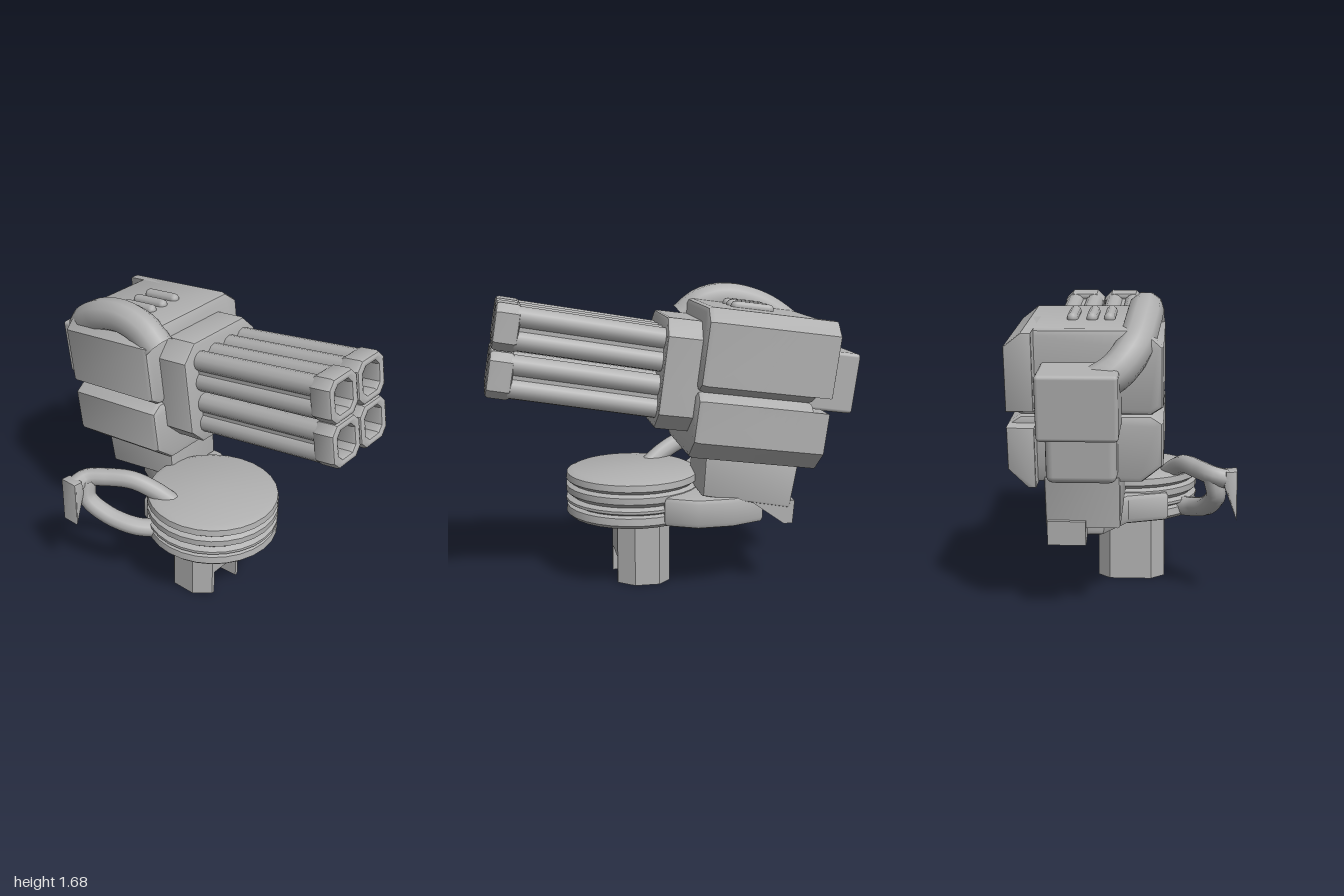
import * as THREE from 'three';
import { toCreasedNormals } from 'three/addons/utils/BufferGeometryUtils.js';
import { RoundedBoxGeometry } from 'three/addons/geometries/RoundedBoxGeometry.js';

const metal = new THREE.MeshStandardMaterial({ color: 0xb0b0b0 });
metal.name = 'grey metal';

function add(parent, name, geometry, x = 0, y = 0, z = 0) {
  const mesh = new THREE.Mesh(geometry, metal);
  mesh.name = name;
  mesh.position.set(x, y, z);
  parent.add(mesh);
  return mesh;
}

function outline(points) {
  return new THREE.Shape(points.map(([x, y]) => new THREE.Vector2(x, y)));
}

// Bevelled prism running from z = 0 to z = depth
function prism(shape, depth, bevel = 0) {
  const g = new THREE.ExtrudeGeometry(shape, {
    depth: depth - 2 * bevel, bevelEnabled: bevel > 0, bevelSize: bevel,
    bevelOffset: -bevel, bevelThickness: bevel, bevelSegments: 2, curveSegments: 4,
  });
  g.translate(0, 0, bevel);
  return toCreasedNormals(g, 0.65);
}

// Square with cut corners
function cutSquare(w, h, c) {
  return [[-w, -h + c], [-w + c, -h], [w - c, -h], [w, -h + c],
    [w, h - c], [w - c, h], [-w + c, h], [-w, h - c]];
}

function hose(points, radius) {
  const curve = new THREE.CatmullRomCurve3(points.map((p) => new THREE.Vector3(...p)));
  return new THREE.TubeGeometry(curve, 24, radius, 10);
}

function tilted(parent, name, degrees, x, y, z) {
  const group = new THREE.Group();
  group.name = name;
  group.position.set(x, y, z);
  group.rotation.x = -THREE.MathUtils.degToRad(degrees);
  parent.add(group);
  return group;
}

function buildBarrels(root) {
  const cluster = tilted(root, 'barrelCluster', 9.5, 0.205, 1.234, 0);
  const length = 0.97;
  for (const sx of [-1, 1]) for (const sy of [-1, 1]) {
    const barrel = new THREE.Group();
    barrel.name = 'barrel';
    barrel.position.set(sx * 0.124, sy * 0.124, 0);
    cluster.add(barrel);
    // Hollow muzzle
    const muzzle = outline(cutSquare(0.122, 0.122, 0.045));
    muzzle.holes.push(new THREE.Path(
      cutSquare(0.072, 0.078, 0.03).reverse().map(([x, y]) => new THREE.Vector2(x, y))));
    add(barrel, 'muzzle', prism(muzzle, 0.13, 0.02), 0, 0, length - 0.13);
    // Grooved shaft made of four rods around a core
    add(barrel, 'shaftCore', new THREE.BoxGeometry(0.17, 0.17, 0.86), 0, 0, 0.41);
    for (const rx of [-1, 1]) for (const ry of [-1, 1]) {
      const rod = new THREE.CylinderGeometry(0.056, 0.056, 0.87, 12).rotateX(Math.PI / 2);
      add(barrel, 'shaftRod', rod, rx * 0.06, ry * 0.06, 0.425);
    }
  }
}

function buildBody(root) {
  const body = tilted(root, 'body', 7.5, 0.19, 1.16, -0.45);
  const upper = [[-0.33, -0.04], [0.33, -0.04], [0.39, 0], [0.39, 0.33],
    [0.3, 0.4], [-0.29, 0.4], [-0.39, 0.31], [-0.39, 0]];
  const lower = [[-0.28, -0.4], [0.29, -0.4], [0.39, -0.3], [0.39, -0.08],
    [0.33, -0.04], [-0.33, -0.04], [-0.39, -0.08], [-0.39, -0.31]];
  add(body, 'upperHousing', prism(outline(upper), 0.635, 0.03), 0, 0, -0.28);
  add(body, 'lowerHousing', prism(outline(lower), 0.635, 0.03), 0, 0, -0.28);

  // Side panels reaching further back
  const upperPanel = [[0.25, 0], [0.39, 0], [0.39, 0.33], [0.3, 0.4], [0.25, 0.4]];
  const lowerPanel = [[0.25, -0.4], [0.29, -0.4], [0.39, -0.3], [0.39, -0.08], [0.25, -0.08]];
  add(body, 'upperSidePanel', prism(outline(upperPanel), 0.4, 0.01), 0, 0, -0.36);
  add(body, 'lowerSidePanel', prism(outline(lowerPanel), 0.4, 0.01), 0, 0, -0.36);

  // Collar around the barrels
  add(body, 'collar', prism(outline(cutSquare(0.3, 0.295, 0.09)), 0.34, 0.015), 0.005, 0.02, 0.2);

  // Rear blocks
  add(body, 'rearBox', new RoundedBoxGeometry(0.4, 0.33, 0.34, 2, 0.02), 0.02, 0.07, -0.375);
  add(body, 'rearLowerBlock', new RoundedBoxGeometry(0.36, 0.32, 0.2, 2, 0.04), 0.02, -0.21, -0.29);

  // Ribs on the roof
  for (const x of [-0.11, -0.02, 0.08]) {
    const rib = new THREE.CapsuleGeometry(0.03, 0.18, 4, 10).rotateX(Math.PI / 2);
    add(body, 'roofRib', rib, x, 0.405, 0.06);
  }

  // Feed hose over the roof and down the back
  add(root, 'feedHose', hose([[-0.1, 1.48, -0.14], [-0.1, 1.56, -0.24], [-0.1, 1.59, -0.38],
    [-0.09, 1.54, -0.58], [-0.05, 1.42, -0.75], [0.03, 1.32, -0.82], [0.14, 1.25, -0.84]], 0.095));
}

function buildBase(root) {
  // Hollow-footed column with a slot at the front
  const column = [[-0.195, -0.06], [-0.12, -0.15], [0.12, -0.15], [0.19, -0.06],
    [0.19, 0.08], [0.12, 0.15], [-0.12, 0.15], [-0.195, 0.08]];
  const foot = [[-0.1, -0.15], [-0.09, 0.07], [0.09, 0.07], [0.1, -0.15], [0.12, -0.15],
    [0.19, -0.06], [0.19, 0.08], [0.12, 0.15], [-0.12, 0.15], [-0.195, 0.08],
    [-0.195, -0.06], [-0.12, -0.15]];
  const upright = (points, h, bevel) => prism(outline(points), h, bevel).rotateX(-Math.PI / 2);
  add(root, 'column', upright(column, 0.27), 0, 0.15, 0.13);
  add(root, 'columnFoot', upright(foot, 0.15), 0, 0, 0.13);

  // Layered turntable
  const profile = [[0, 0.39], [0.36, 0.39], [0.38, 0.41], [0.375, 0.45], [0.35, 0.46], [0.38, 0.475],
    [0.38, 0.49], [0.35, 0.505], [0.38, 0.53], [0.38, 0.565], [0.355, 0.58], [0.38, 0.6],
    [0.375, 0.635], [0.34, 0.65], [0, 0.65]].map(([r, y]) => new THREE.Vector2(r, y));
  add(root, 'turntable', toCreasedNormals(new THREE.LatheGeometry(profile, 28), 0.7), 0, 0, 0.175);

  // Arm from the turntable to the neck
  const arm = [[-0.2, -0.05], [0.36, -0.05], [0.44, 0.12], [0.43, 0.32], [0.36, 0.5],
    [0.12, 0.48], [0.0, 0.25], [-0.22, 0.16]];
  add(root, 'arm', upright(arm, 0.17, 0.03), 0, 0.39, 0);

  // Neck carrying the body
  const neck = [[0.17, 0.86], [0.15, 0.57], [0.64, 0.48], [0.69, 0.76]];
  const heel = [[0.4, 0.54], [0.61, 0.39], [0.66, 0.39], [0.67, 0.52]];
  add(root, 'neck', prism(outline(neck), 0.39, 0.015).rotateY(Math.PI / 2), 0.02);
  add(root, 'neckHeel', prism(outline(heel), 0.2).rotateY(Math.PI / 2), 0.2);
}

function buildCable(root) {
  add(root, 'cable', hose([[-0.2, 0.6, 0.06], [-0.25, 0.67, -0.04], [-0.31, 0.72, -0.16],
    [-0.39, 0.72, -0.3], [-0.46, 0.71, -0.39], [-0.55, 0.69, -0.4]], 0.052));
  add(root, 'cableReturn', hose([[-0.46, 0.7, -0.38], [-0.48, 0.6, -0.36],
    [-0.44, 0.51, -0.25], [-0.37, 0.46, -0.1], [-0.28, 0.44, 0]], 0.055));
  const fin = [[-0.59, 0.47], [-0.52, 0.66], [-0.53, 0.74], [-0.59, 0.745]];
  add(root, 'cableFin', prism(outline(fin), 0.11, 0.01), 0, 0, -0.45);
}

export function createModel() {
  const root = new THREE.Group();
  root.name = 'turret';
  buildBase(root);
  buildCable(root);
  buildBody(root);
  buildBarrels(root);
  return root;
}
